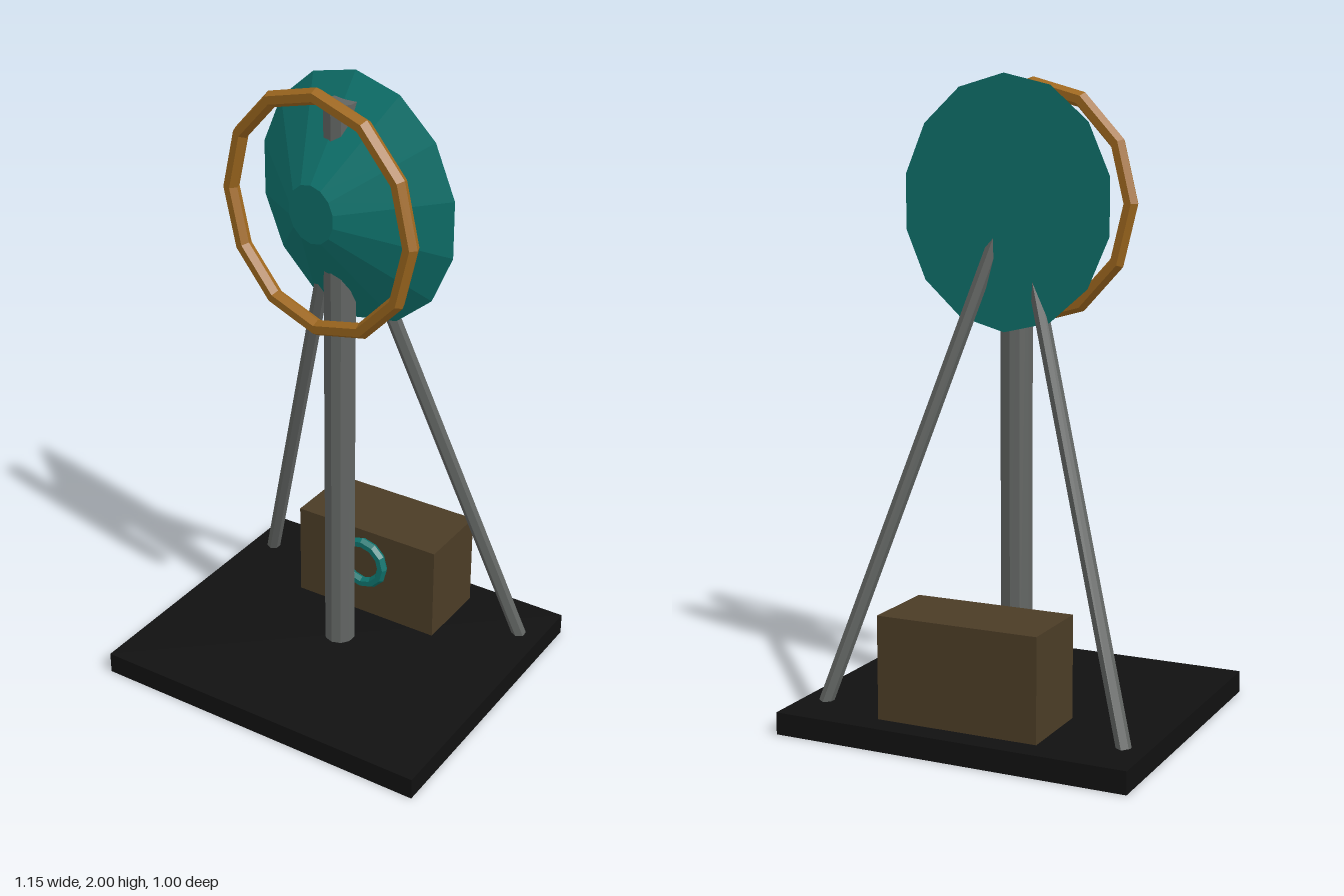
import * as THREE from 'three';

function paint(name, color) {
  const m = new THREE.MeshStandardMaterial({ color });
  m.name = name;
  return m;
}

// Gives every face its own normal for a faceted look
function faceted(geometry) {
  const g = geometry.index ? geometry.toNonIndexed() : geometry;
  g.computeVertexNormals();
  return g;
}

export function createModel() {
  const group = new THREE.Group();
  const black = paint('black', 0x111111);
  const brown = paint('brown', 0x4b3c26);
  const grey = paint('grey', 0x626563);
  const teal = paint('teal', 0x0f746e);
  const bronze = paint('bronze', 0xa0691f);

  function add(name, geometry, material, x, y, z) {
    const mesh = new THREE.Mesh(faceted(geometry), material);
    mesh.name = name;
    mesh.position.set(x, y, z);
    group.add(mesh);
    return mesh;
  }

  // Base slab and equipment box
  add('base', new THREE.BoxGeometry(1.15, 0.07, 1), black, 0, 0.035, 0);
  add('equipmentBox', new THREE.BoxGeometry(0.525, 0.325, 0.262), brown, 0, 0.23, -0.29);

  // Small ring in front of the box
  add('boxRing', new THREE.TorusGeometry(0.077, 0.018, 6, 12), teal, 0, 0.28, -0.14);

  // Central mast
  add('mast', new THREE.CylinderGeometry(0.05, 0.05, 1.85, 10), grey, 0, 0.995, 0);

  // Two rear struts leaning in towards the dish
  const up = new THREE.Vector3(0, 1, 0);
  for (const side of [1, -1]) {
    const foot = new THREE.Vector3(side * 0.5, 0.065, -0.333);
    const top = new THREE.Vector3(side * 0.04, 1.54, -0.027);
    const span = top.clone().sub(foot);
    const mid = foot.clone().add(top).multiplyScalar(0.5);
    const strut = add(side > 0 ? 'leftStrut' : 'rightStrut',
      new THREE.CylinderGeometry(0.023, 0.023, span.length(), 6), grey, mid.x, mid.y, mid.z);
    strut.quaternion.setFromUnitVectors(up, span.normalize());
  }

  // Dish and front ring, both turned slightly to one side
  const yaw = -0.18;
  const dishShape = new THREE.CylinderGeometry(0.09, 0.388, 0.19, 14).rotateX(Math.PI / 2);
  add('dish', dishShape, teal, -0.005, 1.608, 0.028).rotation.y = yaw;
  add('frontRing', new THREE.TorusGeometry(0.356, 0.025, 6, 12), bronze, 0, 1.61, 0.12).rotation.y = yaw;

  return group;
}
